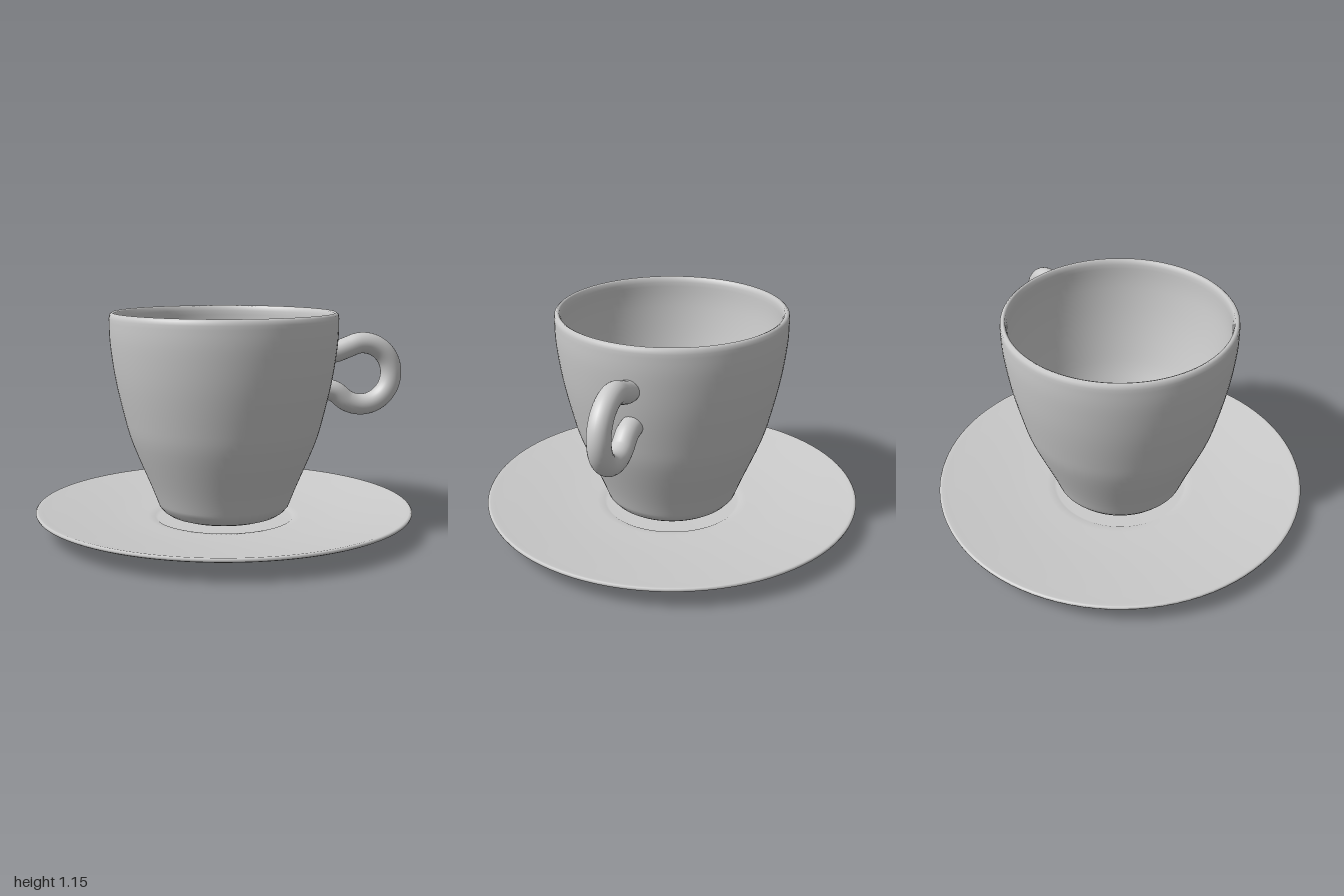
import * as THREE from 'three';

const material = new THREE.MeshStandardMaterial({ color: 0xcccccc, side: THREE.DoubleSide });
const points = (list) => list.map(([x, y]) => new THREE.Vector2(x, y));

// Smoothed run through a few profile points
const smooth = (list, n) => new THREE.SplineCurve(points(list)).getPoints(n);

function addMesh(group, name, geometry) {
  const mesh = new THREE.Mesh(geometry, material);
  mesh.name = name;
  group.add(mesh);
}

export function createModel() {
  const group = new THREE.Group();
  group.name = 'cupAndSaucer';

  // Saucer: foot, underside, thin rim, sloping dish and shallow central well
  const saucer = [
    ...points([[0, 0], [0.36, 0], [0.36, 0.036]]),
    ...smooth([[0.375, 0.037], [0.55, 0.046], [0.8, 0.07], [0.985, 0.098]], 12),
    ...points([[0.997, 0.104], [1, 0.113], [0.994, 0.119], [0.985, 0.12]]),
    ...smooth([[0.965, 0.116], [0.75, 0.088], [0.55, 0.067], [0.37, 0.056]], 10),
    ...points([[0.355, 0.046], [0, 0.046]]),
  ];
  addMesh(group, 'saucer', new THREE.LatheGeometry(saucer, 96));

  // Cup: base, outer wall, rounded lip, inner wall and bowl floor
  const cup = [
    ...points([[0, 0.062], [0.26, 0.064], [0.3, 0.078], [0.325, 0.095], [0.347, 0.12]]),
    ...smooth([[0.355, 0.14], [0.39, 0.23], [0.485, 0.46], [0.528, 0.61],
      [0.572, 0.81], [0.597, 1.0], [0.6, 1.12]], 24),
    ...points([[0.597, 1.14], [0.585, 1.151], [0.573, 1.145]]),
    ...smooth([[0.568, 1.12], [0.564, 1.0], [0.537, 0.81], [0.493, 0.61], [0.447, 0.46],
      [0.36, 0.27], [0.32, 0.21], [0.27, 0.175], [0.19, 0.163], [0, 0.163]], 32),
  ];
  addMesh(group, 'cup', new THREE.LatheGeometry(cup, 96));

  // Handle: round loop pinched into two stubs that enter the cup wall
  const v = (x, y) => new THREE.Vector3(x, y, 0);
  const path = [v(0.575, 0.924), v(0.61, 0.926)];
  for (let i = 0; i <= 10; i++) {
    const a = THREE.MathUtils.degToRad(120 - 24 * i);
    path.push(v(0.765 + 0.168 * Math.cos(a), 0.805 + 0.168 * Math.sin(a)));
  }
  path.push(v(0.61, 0.713), v(0.545, 0.727));
  addMesh(group, 'handle', new THREE.TubeGeometry(new THREE.CatmullRomCurve3(path), 80, 0.057, 24));

  return group;
}
